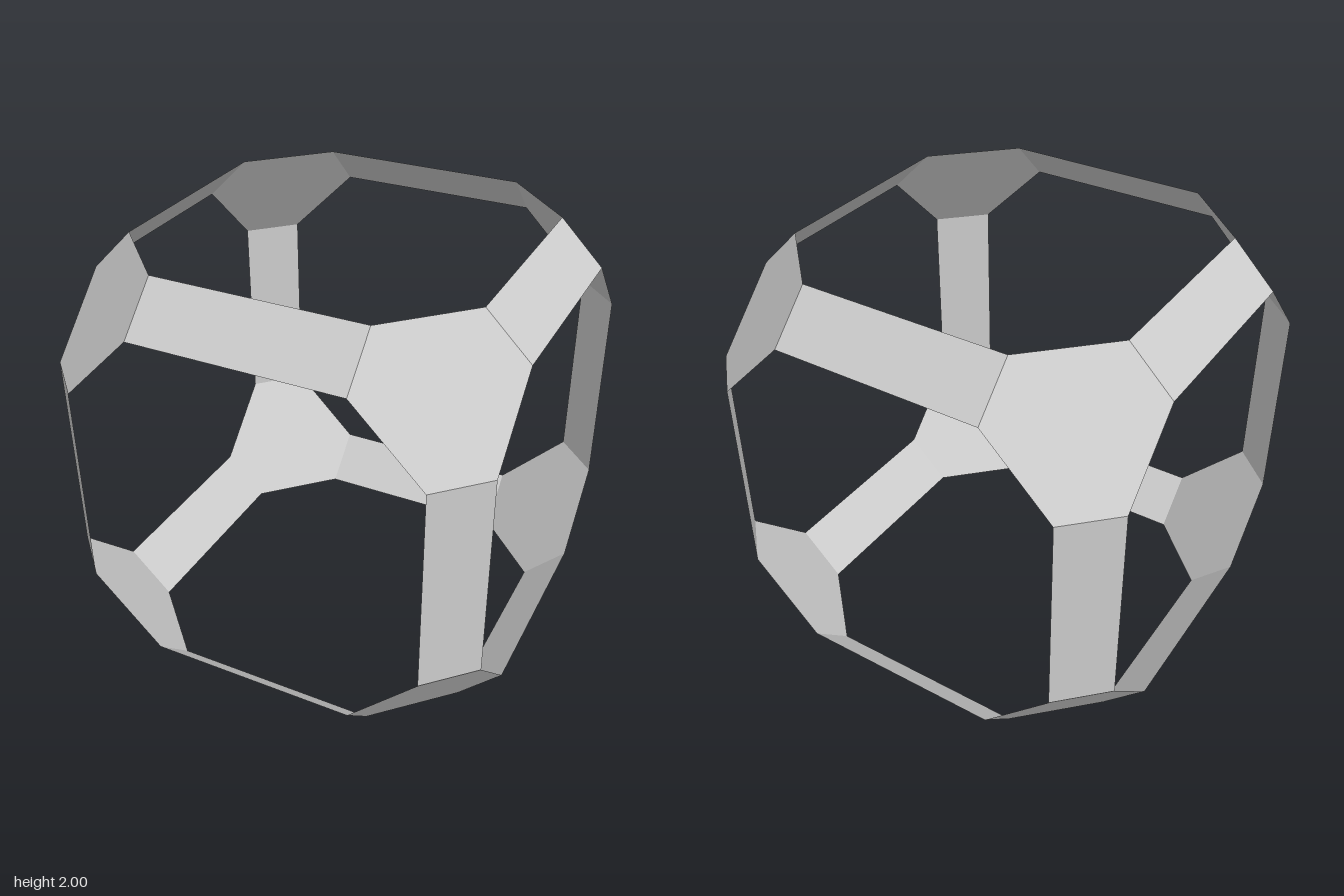
import * as THREE from 'three';

const OUT = 1, MID = 0.8, IN = 0.48; // the three coordinate levels of every vertex
const material = new THREE.MeshStandardMaterial({
  color: 0xcccccc, flatShading: true, side: THREE.DoubleSide,
});

// Flat convex panel, wound so that it faces away from the centre
function panel(name, corners) {
  let pts = corners.map((c) => new THREE.Vector3(...c));
  const normal = pts[1].clone().sub(pts[0]).cross(pts[2].clone().sub(pts[0]));
  if (normal.dot(pts[0]) < 0) pts.reverse();
  const geometry = new THREE.BufferGeometry().setFromPoints(pts);
  const index = [];
  for (let i = 1; i < pts.length - 1; i++) index.push(0, i, i + 1);
  geometry.setIndex(index);
  geometry.computeVertexNormals();
  const mesh = new THREE.Mesh(geometry, material);
  mesh.name = name;
  return mesh;
}

export function createModel() {
  const model = new THREE.Group();
  model.name = 'openPolyhedronFrame';
  const frame = new THREE.Group();
  frame.name = 'frame';
  frame.position.y = 1;
  model.add(frame);

  // Eight hexagonal corner plates
  const hexagon = [
    [OUT, MID, IN], [MID, OUT, IN], [IN, OUT, MID],
    [IN, MID, OUT], [MID, IN, OUT], [OUT, IN, MID],
  ];
  for (const sx of [-1, 1]) for (const sy of [-1, 1]) for (const sz of [-1, 1]) {
    frame.add(panel('cornerPlate', hexagon.map(([x, y, z]) => [x * sx, y * sy, z * sz])));
  }

  // Twelve bevelled edge strips, four along each axis
  for (let axis = 0; axis < 3; axis++) for (const su of [-1, 1]) for (const sv of [-1, 1]) {
    const at = (along, u, v) => {
      const p = [0, 0, 0];
      p[axis] = along;
      p[(axis + 1) % 3] = u * su;
      p[(axis + 2) % 3] = v * sv;
      return p;
    };
    frame.add(panel('edgeStrip', [
      at(-IN, OUT, MID), at(IN, OUT, MID), at(IN, MID, OUT), at(-IN, MID, OUT),
    ]));
  }
  return model;
}
